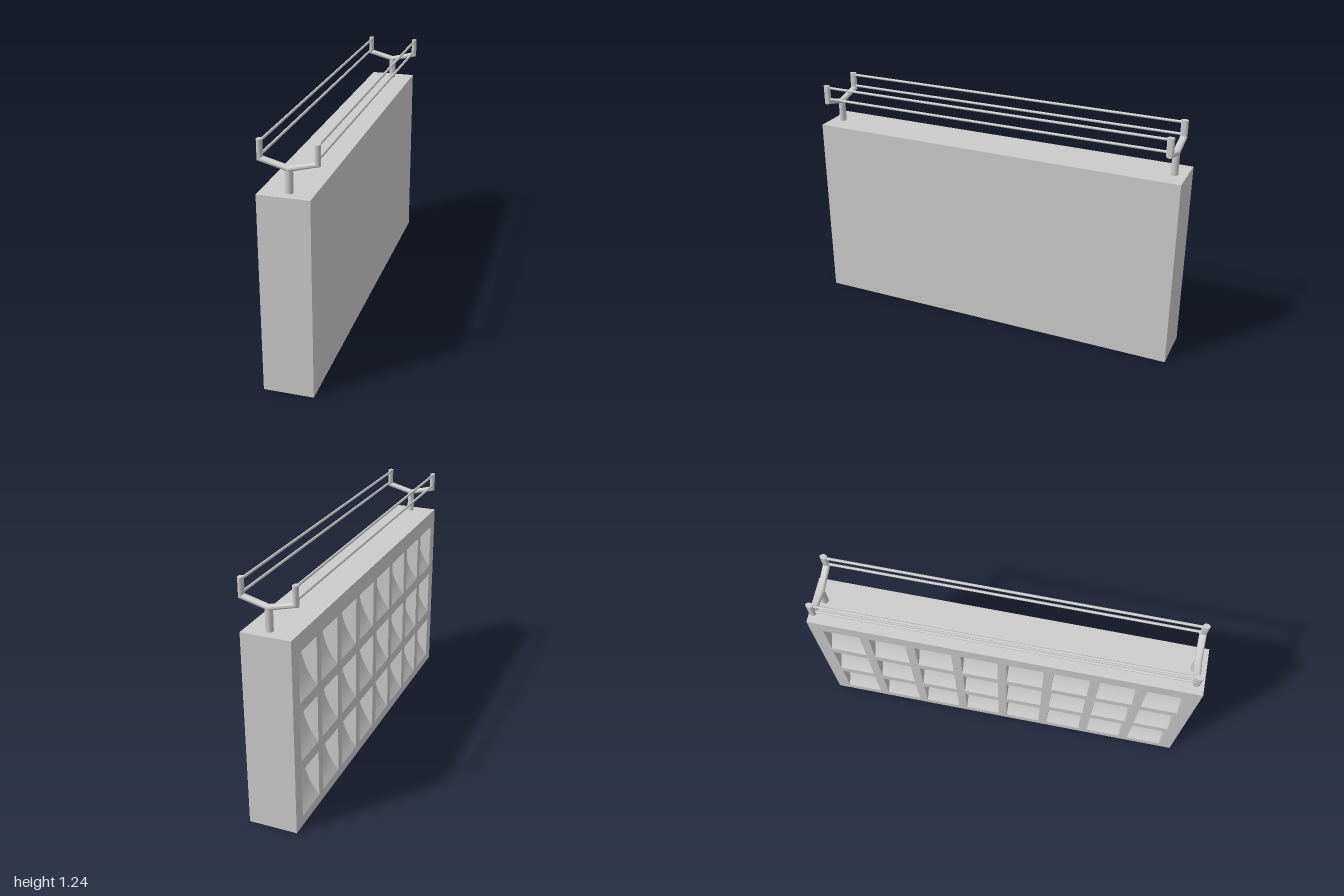
import * as THREE from 'three';
import { toCreasedNormals } from 'three/addons/utils/BufferGeometryUtils.js';

const mat = new THREE.MeshStandardMaterial({ color: 0xcccccc });

const X0 = -0.133, X1 = 0.115;            // side faces of the block
const DEPTH = 0.09;                       // pocket depth
const PW = 0.19, PH = 0.25;               // pocket width and height
const columns = Array.from({ length: 8 }, (_, i) => (i - 3.5) * 0.2385);
const rows = [0.05, 0.355, 0.66];         // pocket bottoms

function add(parent, name, geometry, x = 0, y = 0, z = 0) {
  const mesh = new THREE.Mesh(geometry, mat);
  mesh.name = name;
  mesh.position.set(x, y, z);
  parent.add(mesh);
  return mesh;
}

// Slab pierced by the grid of pocket openings
function pocketPanelGeometry() {
  const shape = new THREE.Shape([[-1, 0], [1, 0], [1, 1], [-1, 1]].map(p => new THREE.Vector2(...p)));
  for (const c of columns) for (const b of rows) {
    const l = c - PW / 2, r = c + PW / 2, t = b + PH;
    shape.holes.push(new THREE.Path([[l, b], [l, t], [r, t], [r, b]].map(p => new THREE.Vector2(...p))));
  }
  return new THREE.ExtrudeGeometry(shape, { depth: DEPTH, bevelEnabled: false }).rotateY(Math.PI / 2);
}

// Curved ramp that fills the bottom and back of a pocket
function scoopGeometry() {
  const shape = new THREE.Shape();
  shape.moveTo(0, 0);
  shape.lineTo(DEPTH, 0);
  shape.lineTo(DEPTH, PH);
  shape.bezierCurveTo(0.085, 0.16, 0.065, 0.07, 0, 0);
  const g = new THREE.ExtrudeGeometry(shape, { depth: PW, bevelEnabled: false, curveSegments: 8 });
  return toCreasedNormals(g.translate(0, 0, -PW / 2), 0.5);
}

// Bent round bar with mitred corners, made from a cylinder whose rings follow a path
function forkGeometry() {
  const path = [[-0.131, 1.235], [-0.131, 1.146], [0, 1.112], [0.131, 1.146], [0.131, 1.235]]
    .map(p => new THREE.Vector2(...p));
  const n = path.length - 1;
  const dirs = path.slice(1).map((p, i) => p.clone().sub(path[i]).normalize());
  const g = new THREE.CylinderGeometry(1, 1, n, 16, n);
  const pos = g.attributes.position;
  for (let k = 0; k < pos.count; k++) {
    const i = Math.round(pos.getY(k) + n / 2);
    const a = dirs[Math.max(i - 1, 0)], b = dirs[Math.min(i, n - 1)];
    const mid = a.clone().add(b).normalize();
    const w = 0.0135 / mid.dot(a) * pos.getX(k);
    pos.setXYZ(k, path[i].x + mid.y * w, path[i].y - mid.x * w, pos.getZ(k) * 0.0185);
  }
  return toCreasedNormals(g, 0.6);
}

export function createModel() {
  const model = new THREE.Group();
  model.name = 'pocketWallWithRails';

  // Wall block: solid part and pocketed face
  const solid = X1 - X0 - DEPTH;
  add(model, 'wallBlock', new THREE.BoxGeometry(solid, 1, 2), X1 - solid / 2, 0.5, 0);
  add(model, 'pocketPanel', pocketPanelGeometry(), X0, 0, 0);

  const pockets = new THREE.Group();
  pockets.name = 'pocketScoops';
  model.add(pockets);
  const scoop = scoopGeometry();
  for (const c of columns) for (const b of rows) add(pockets, 'pocketScoop', scoop, X0, b, c);

  // Forked supports at both ends
  const fork = forkGeometry();
  const post = new THREE.CylinderGeometry(0.0185, 0.0185, 0.11, 16);
  for (const z of [-0.938, 0.938]) {
    const support = new THREE.Group();
    support.name = z > 0 ? 'frontSupport' : 'backSupport';
    support.position.z = z;
    add(support, 'post', post, 0, 1.053, 0);
    add(support, 'fork', fork);
    model.add(support);
  }

  // Two rails along each side
  const rail = new THREE.CylinderGeometry(0.007, 0.007, 1.876, 12).rotateX(Math.PI / 2);
  for (const x of [-0.129, 0.129]) for (const y of [1.162, 1.224]) add(model, 'rail', rail, x, y, 0);

  return model;
}
